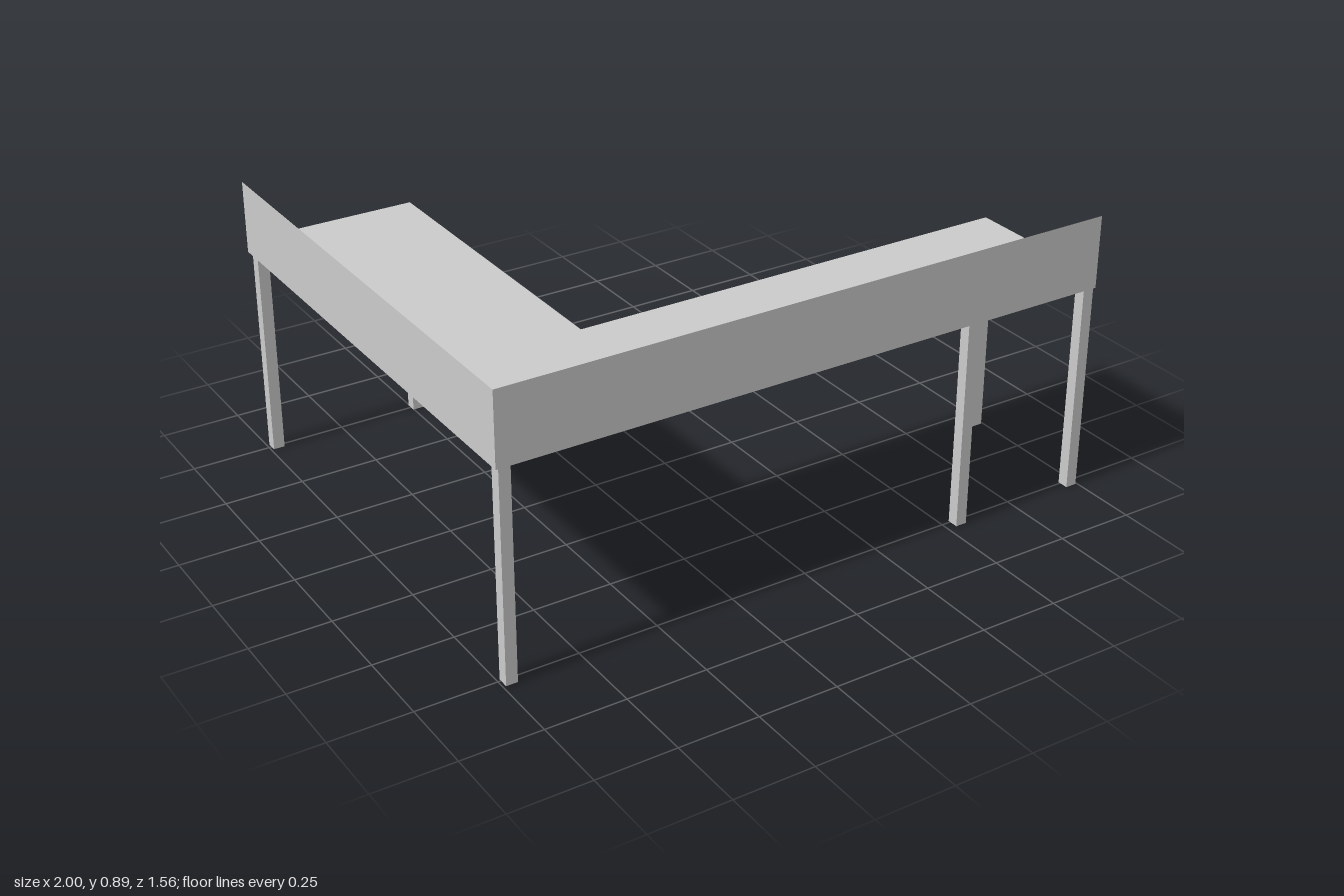
import * as THREE from 'three';

const HALF_X = 1, HALF_Z = 0.782;
const SLAB_BOTTOM = 0.665, SLAB_TOP = 0.702, SCREEN_TOP = 0.895;
const LEG = 0.036;

export function createModel() {
  const group = new THREE.Group();
  const solid = new THREE.MeshStandardMaterial({ color: 0xcccccc, flatShading: true });
  const sheet = new THREE.MeshStandardMaterial({ color: 0xcccccc, flatShading: true, side: THREE.DoubleSide });

  const add = (name, geometry, material, x, y, z) => {
    const mesh = new THREE.Mesh(geometry, material);
    mesh.name = name;
    mesh.position.set(x, y, z);
    group.add(mesh);
    return mesh;
  };

  // L-shaped worktop, outlined as (x, -z) and extruded upward
  const outline = [
    [-HALF_X, HALF_Z], [HALF_X, HALF_Z], [HALF_X, 0.275],
    [-0.452, 0.275], [-0.452, -HALF_Z], [-HALF_X, -HALF_Z],
  ].map(([x, z]) => new THREE.Vector2(x, -z));
  const slab = new THREE.ExtrudeGeometry(new THREE.Shape(outline), {
    depth: SLAB_TOP - SLAB_BOTTOM, bevelEnabled: false,
  });
  slab.rotateX(-Math.PI / 2);
  add('worktop', slab, solid, 0, SLAB_BOTTOM, 0);

  // Thin privacy screens along the two outer edges
  const screenHeight = SCREEN_TOP - SLAB_TOP;
  const screenY = (SCREEN_TOP + SLAB_TOP) / 2;
  add('frontScreen', new THREE.PlaneGeometry(2 * HALF_X, screenHeight), sheet, 0, screenY, HALF_Z);
  const side = add('sideScreen', new THREE.PlaneGeometry(2 * HALF_Z, screenHeight), sheet, -HALF_X, screenY, 0);
  side.rotation.y = -Math.PI / 2;

  // Square legs
  const legGeometry = new THREE.BoxGeometry(LEG, SLAB_BOTTOM, LEG);
  const legs = {
    cornerLeg: [-0.973, 0.761],
    frontMiddleLeg: [0.548, 0.761],
    frontEndLeg: [0.976, 0.761],
    innerEndLeg: [0.976, 0.308],
    backOuterLeg: [-0.973, -0.75],
    backInnerLeg: [-0.484, -0.75],
  };
  for (const [name, [x, z]] of Object.entries(legs)) {
    add(name, legGeometry, solid, x, SLAB_BOTTOM / 2, z);
  }

  return group;
}
